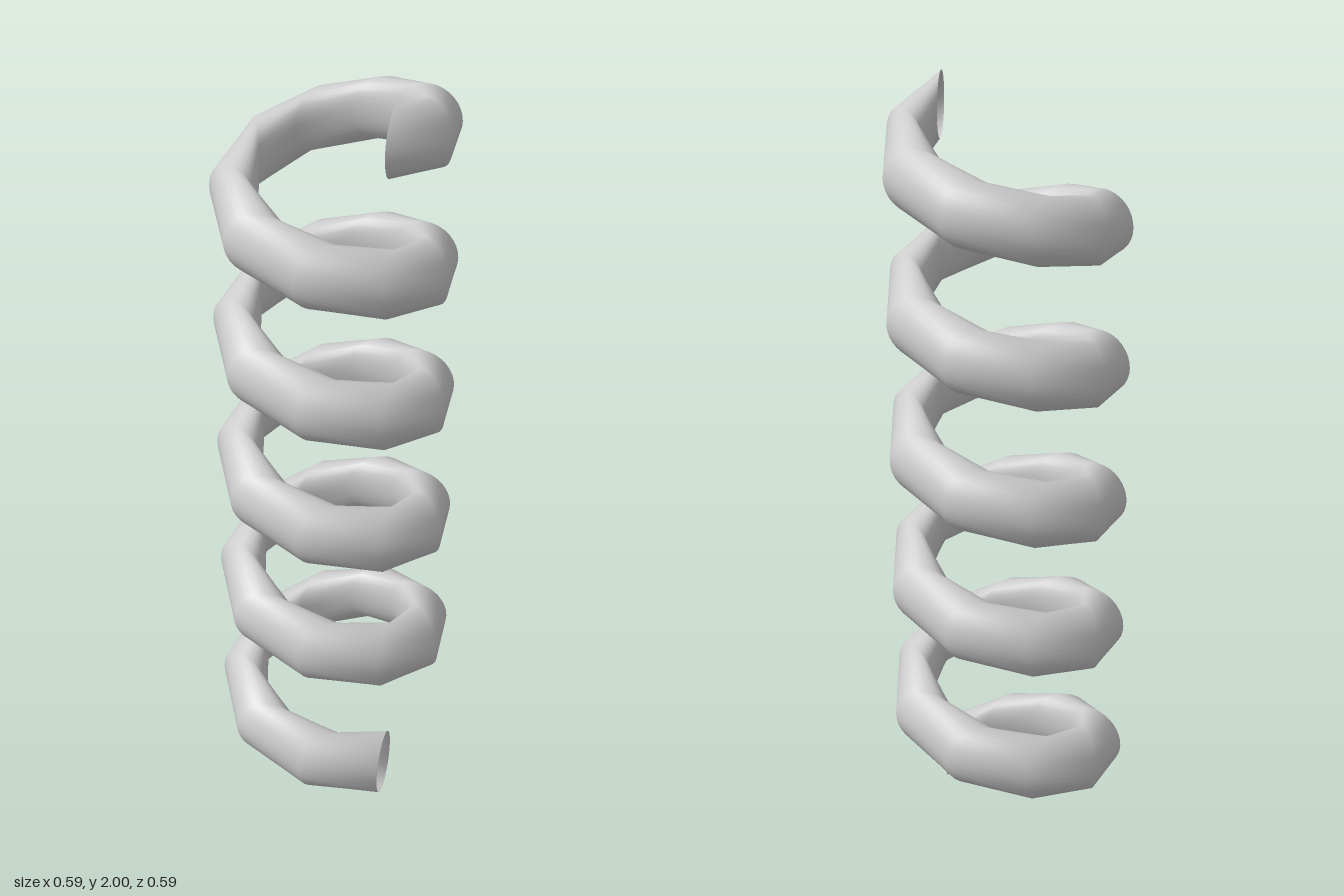
import * as THREE from 'three';
import { ParametricGeometry } from 'three/addons/geometries/ParametricGeometry.js';

const TURNS = 5, STEPS = 9, SIDES = 32;
const WIRE = 0.0815;                       // radius of the swept circle
const START_X = 0.171, START_Z = 0.1675;   // circle centre, measured from the axis
const RISE = 2 - 2 * WIRE;

// An upright circle, set askew to the radius, is screwed around the vertical axis.
function screw(u, v, target) {
  const a = u * TURNS * Math.PI * 2, t = v * Math.PI * 2;
  const z = START_Z + WIRE * Math.cos(t);
  target.set(
    START_X * Math.cos(a) - z * Math.sin(a),
    WIRE + u * RISE - WIRE * Math.sin(t),
    START_X * Math.sin(a) + z * Math.cos(a)
  );
}

export function createModel() {
  const model = new THREE.Group();
  model.name = 'coilSpring';

  // Open-ended coil: few steps per turn, round smooth section
  const coil = new THREE.Mesh(
    new ParametricGeometry(screw, TURNS * STEPS, SIDES),
    new THREE.MeshStandardMaterial({ color: 0xcccccc, side: THREE.DoubleSide })
  );
  coil.name = 'coil';
  coil.position.set(0.003, 0, -0.004);
  model.add(coil);
  return model;
}
